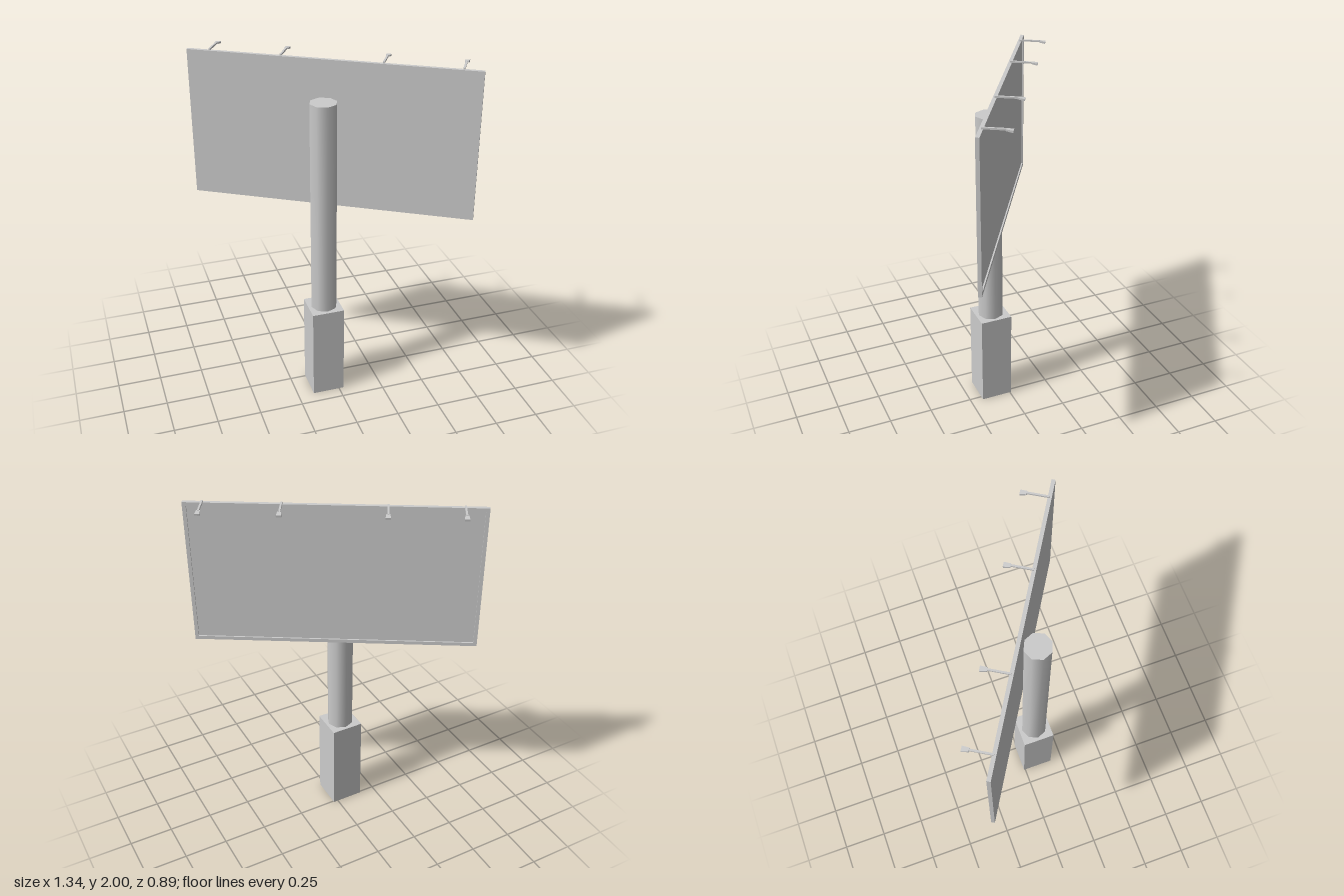
import * as THREE from 'three';

export function createModel() {
  const model = new THREE.Group();
  model.name = 'billboard';
  const material = new THREE.MeshStandardMaterial({ color: 0xcccccc });

  const add = (parent, name, geometry, x = 0, y = 0, z = 0) => {
    const mesh = new THREE.Mesh(geometry, material);
    mesh.name = name;
    mesh.position.set(x, y, z);
    parent.add(mesh);
    return mesh;
  };

  // Square footing and eight-sided post
  add(model, 'base', new THREE.BoxGeometry(0.185, 0.55, 0.185), -0.065, 0.275, 0.084);
  add(model, 'post', new THREE.CylinderGeometry(0.075, 0.075, 1.235, 8), -0.064, 1.1675, 0.084);

  // Turned sign: its display side looks along local -z
  const sign = new THREE.Group();
  sign.name = 'sign';
  sign.position.set(-0.003, 1.5775, 0.027);
  sign.rotation.y = -THREE.MathUtils.degToRad(31.25);
  model.add(sign);

  const W = 1.556, H = 0.825, BORDER = 0.02;
  add(sign, 'panel', new THREE.BoxGeometry(W, H, 0.012), 0, 0, 0.004);

  // Raised border around the display side
  const rect = (Type, w, h) => new Type([
    new THREE.Vector2(-w / 2, -h / 2), new THREE.Vector2(w / 2, -h / 2),
    new THREE.Vector2(w / 2, h / 2), new THREE.Vector2(-w / 2, h / 2),
  ]);
  const border = rect(THREE.Shape, W, H);
  border.holes.push(rect(THREE.Path, W - 2 * BORDER, H - 2 * BORDER));
  add(sign, 'frame', new THREE.ExtrudeGeometry(border, { depth: 0.008, bevelEnabled: false }), 0, 0, -0.01);

  // Four lamps reaching out over the display side
  for (const x of [-0.655, -0.268, 0.271, 0.675]) {
    const lamp = new THREE.Group();
    lamp.name = 'lamp';
    lamp.position.set(x, H / 2, 0);
    sign.add(lamp);
    add(lamp, 'lampArm', new THREE.BoxGeometry(0.01, 0.009, 0.116), 0, 0.0045, -0.058);
    // Head: tapered toward the arm and tipped slightly down
    const head = new THREE.CylinderGeometry(0.0135 * Math.SQRT2, 0.01 * Math.SQRT2, 0.036, 4, 1);
    head.rotateY(Math.PI / 4).scale(1, 1, 0.4).rotateX(-Math.PI / 2);
    const mesh = add(lamp, 'lampHead', head.toNonIndexed(), 0, 0.001, -0.13);
    mesh.geometry.computeVertexNormals();
    mesh.rotation.x = -0.15;
  }

  return model;
}
